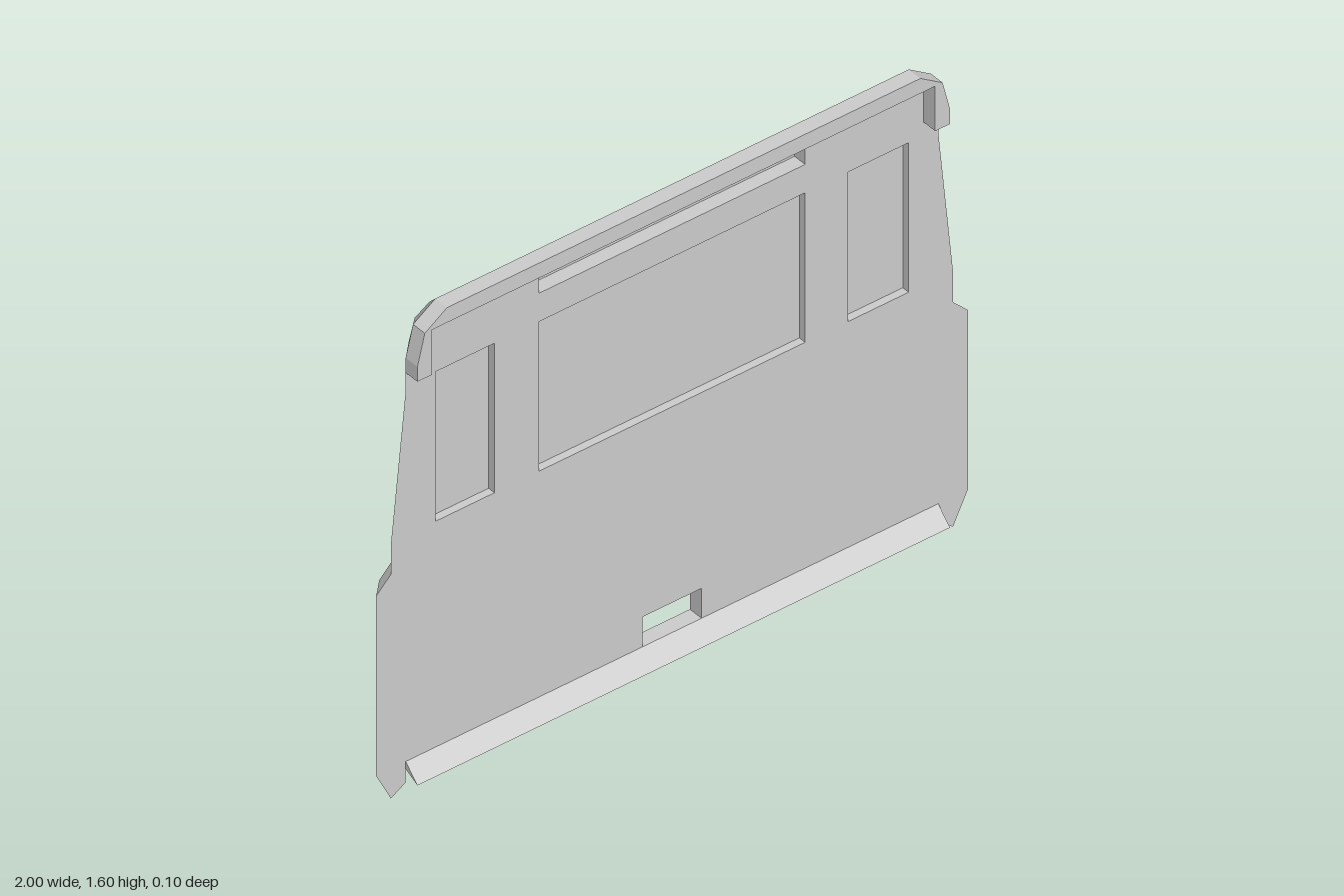
import * as THREE from 'three';
import { mergeGeometries } from 'three/addons/utils/BufferGeometryUtils.js';

const BACK = -0.05;
const material = new THREE.MeshStandardMaterial({ color: 0xcccccc, flatShading: true });
const paneMaterial = new THREE.MeshStandardMaterial({ color: 0xcccccc, flatShading: true, side: THREE.DoubleSide });

const vectors = (pts) => pts.map(([x, y]) => new THREE.Vector2(x, y));
const mirrored = (half) => [...half, ...half.map(([x, y]) => [-x, y]).reverse()];
// Clockwise rectangle, so that walls built on it face inward
const rect = (x0, x1, y0, y1) => [[x0, y0], [x0, y1], [x1, y1], [x1, y0]];

// Flat face with holes at depth z, facing front or back
function face(outline, holes, z, back = false) {
  const shape = new THREE.Shape(vectors(outline));
  holes.forEach((h) => shape.holes.push(new THREE.Path(vectors(h))));
  let geo = new THREE.ShapeGeometry(shape).translate(0, 0, z);
  geo.deleteAttribute('uv');
  if (back) geo.index.array.reverse();
  geo = geo.toNonIndexed();
  geo.computeVertexNormals();
  return geo;
}

// Closed band of quads joining a front loop to a back loop
function band(front, zf, rear, zr) {
  const pos = [];
  front.forEach((a, i) => {
    const j = (i + 1) % front.length;
    const A = [...a, zf], B = [...front[j], zf], C = [...rear[j], zr], D = [...rear[i], zr];
    pos.push(...A, ...D, ...C, ...A, ...C, ...B);
  });
  const geo = new THREE.BufferGeometry();
  geo.setAttribute('position', new THREE.Float32BufferAttribute(pos, 3));
  geo.computeVertexNormals();
  return geo;
}

export function createModel() {
  const group = new THREE.Group();
  const add = (name, geo, mat = material) => {
    const mesh = new THREE.Mesh(geo, mat);
    mesh.name = name;
    group.add(mesh);
  };

  // Outlines: wide at the front, chamfered inward to the back; the plate opening is a notch
  const frontOutline = mirrored([[0.1, 0.2], [0.1, 0.1], [0.9, 0.1], [0.9, 0.03], [0.95, 0], [1, 0.1],
    [1, 0.7], [0.95, 0.75], [0.95, 0.85], [0.9, 1.34], [0.9, 1.45], [0.875, 1.55], [0.8, 1.6]]);
  const backOutline = mirrored([[0.1, 0.2], [0.1, 0.1], [0.895, 0.1], [0.9, 0.09], [0.92, 0.08], [0.95, 0.1],
    [0.95, 0.7], [0.9, 0.75], [0.9, 0.85], [0.85, 1.34], [0.85, 1.45], [0.83, 1.52], [0.78, 1.55]]);

  const windows = {
    rightWindow: rect(-0.8, -0.6, 0.855, 1.355),
    centreWindow: rect(-0.45, 0.45, 0.855, 1.355),
    leftWindow: rect(0.595, 0.8, 0.855, 1.355),
  };
  const holes = Object.values(windows);
  const lightRecess = rect(-0.45, 0.45, 1.45, 1.55);
  const recessDepth = -0.045;

  // Main panel with window reveals and the upper light recess
  add('rearPanel', mergeGeometries([
    face(frontOutline, [...holes, lightRecess], 0),
    face(backOutline, holes, BACK, true),
    band(frontOutline, 0, backOutline, BACK),
    ...holes.map((h) => band(h, 0, h, BACK)),
    band(lightRecess, 0, lightRecess, recessDepth),
  ]));

  // Panes set halfway into the panel, and the floor of the light recess
  for (const [name, loop] of Object.entries(windows)) add(name, face(loop, [], BACK / 2), paneMaterial);
  add('lightRecessFloor', face(lightRecess, [], recessDepth), paneMaterial);

  // Rim wrapping over the top corners, standing forward of the panel
  const rim = mirrored([[0.85, 1.55], [0.85, 1.4], [0.9, 1.4], [0.9, 1.45], [0.875, 1.55], [0.8, 1.6]]);
  add('topRim', new THREE.ExtrudeGeometry(new THREE.Shape(vectors(rim)), { depth: 0.05, bevelEnabled: false }));

  // Sloping wedge lip along the bottom edge, drawn in z and y
  const lip = new THREE.Shape(vectors([[BACK, 0.1], [0.05, 0.05], [0, 0.1]]));
  add('bottomLip', new THREE.ExtrudeGeometry(lip, { depth: 1.8, bevelEnabled: false })
    .rotateY(-Math.PI / 2).translate(0.9, 0, 0));

  return group;
}
